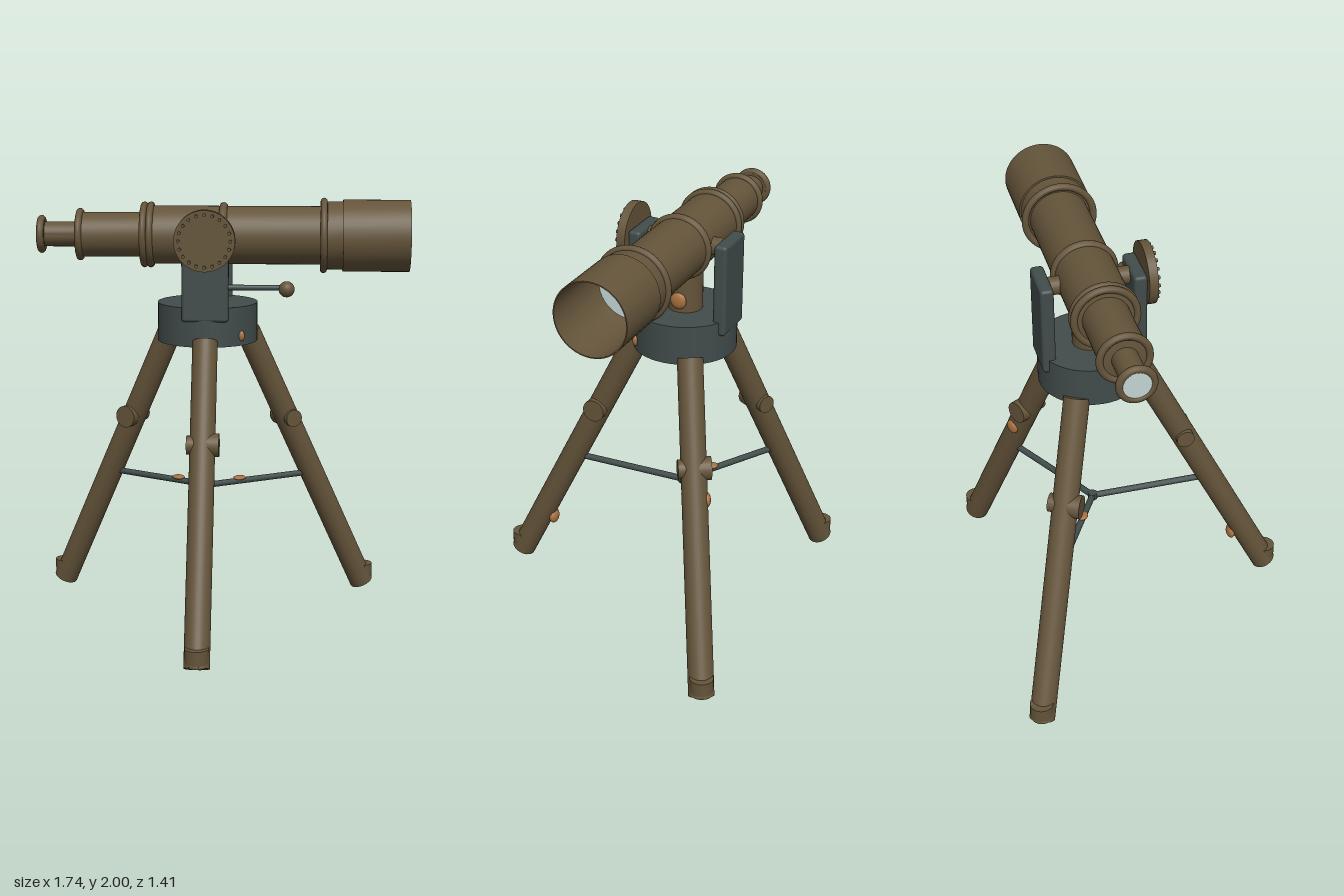
import * as THREE from 'three';
import { toCreasedNormals } from 'three/addons/utils/BufferGeometryUtils.js';
import { RoundedBoxGeometry } from 'three/addons/geometries/RoundedBoxGeometry.js';

const CX = -0.065, CZ = -0.213, BARREL_Y = 1.825;

function material(name, color) {
  const m = new THREE.MeshStandardMaterial({ color });
  m.name = name;
  return m;
}

export function createModel() {
  const bronze = material('aged bronze', 0x64543a);
  const iron = material('dark iron', 0x414c4b);
  const copper = material('copper', 0xa87040);
  const glass = material('pale glass', 0xc4d4d4);

  const model = new THREE.Group();
  model.name = 'telescopeOnTripod';
  // Everything is built around the tripod's vertical axis
  const body = new THREE.Group();
  body.name = 'telescope';
  body.position.set(CX, 0, CZ);
  model.add(body);

  function add(name, geometry, mat, x = 0, y = 0, z = 0, parent = body) {
    const mesh = new THREE.Mesh(geometry, mat);
    mesh.name = name;
    mesh.position.set(x, y, z);
    parent.add(mesh);
    return mesh;
  }
  // Cylinder running between two points
  function rod(name, a, b, r, mat, parent = body, sides = 24) {
    const from = new THREE.Vector3(...a), to = new THREE.Vector3(...b);
    const dir = to.clone().sub(from);
    const mesh = add(name, new THREE.CylinderGeometry(r, r, dir.length(), sides), mat, 0, 0, 0, parent);
    mesh.position.copy(from).add(to).multiplyScalar(0.5);
    mesh.quaternion.setFromUnitVectors(new THREE.Vector3(0, 1, 0), dir.normalize());
    return mesh;
  }
  function rivet(name, x, y, z, r, squash, parent = body) {
    const mesh = add(name, new THREE.SphereGeometry(r, 16, 12), copper, x, y, z, parent);
    mesh.scale.set(...squash);
    return mesh;
  }

  // Barrel, lying along x, with a hollow hood at the wide end
  const barrel = new THREE.Group();
  barrel.name = 'barrel';
  barrel.position.set(-CX, BARREL_Y, 0);
  barrel.rotation.z = -Math.PI / 2;
  body.add(barrel);
  const profile = [
    [0.05, -0.83], [0.07, -0.845], [0.07, -0.82], [0.057, -0.82], [0.057, -0.665], [0.103, -0.66],
    [0.103, -0.365], [0.134, -0.36], [0.134, 0.47], [0.155, 0.475], [0.157, 0.56],
    [0.165, 0.56], [0.165, 0.868], [0.16, 0.868], [0.157, 0.56], [0.138, 0.5],
  ].map(p => new THREE.Vector2(...p));
  add('tube', toCreasedNormals(new THREE.LatheGeometry(profile, 48), 0.5), bronze, 0, 0, 0, barrel);
  // Rings: position along the barrel, outer radius, thickness radius
  for (const [at, outer, t] of [
    [-0.838, 0.088, 0.017], [-0.657, 0.121, 0.016], [-0.357, 0.152, 0.016],
    [-0.327, 0.152, 0.016], [0.01, 0.151, 0.019], [0.472, 0.173, 0.016],
  ]) {
    const ring = add('barrelRing', new THREE.TorusGeometry(outer - t, t, 12, 48), bronze, 0, at, 0, barrel);
    ring.rotation.x = Math.PI / 2;
  }
  add('objectiveLens', new THREE.CylinderGeometry(0.14, 0.14, 0.008, 40), glass, 0, 0.505, 0, barrel);
  add('eyepieceLens', new THREE.CylinderGeometry(0.064, 0.064, 0.008, 32), glass, 0, -0.846, 0, barrel);

  // Base drum, post and the two uprights
  add('baseDrum', new THREE.CylinderGeometry(0.233, 0.233, 0.18, 48), iron, 0, 1.425, 0);
  add('post', new THREE.CylinderGeometry(0.078, 0.078, 0.25, 32), bronze, 0, 1.615, 0);
  for (const s of [1, -1]) {
    add('upright', new RoundedBoxGeometry(0.214, 0.42, 0.06, 3, 0.016), iron, 0, 1.66, s * 0.204);
  }
  rod('trunnion', [0, BARREL_Y, -0.2], [0, BARREL_Y, 0.2], 0.04, bronze);
  rivet('postRivet', 0.078, 1.57, 0, 0.038, [0.45, 1, 1]);
  rivet('baseRivet', 0.165, 1.38, 0.167, 0.024, [0.6, 1, 0.6]);

  // Adjustment wheel with a ring of studs
  const wheel = new THREE.Group();
  wheel.name = 'adjustmentWheel';
  wheel.position.set(0, BARREL_Y, 0.233);
  body.add(wheel);
  rod('wheelDisc', [0, 0, 0], [0, 0, 0.04], 0.139, bronze, wheel, 48);
  for (let i = 0; i < 20; i++) {
    const a = i / 20 * Math.PI * 2, x = Math.cos(a) * 0.118, y = Math.sin(a) * 0.118;
    rod('wheelStud', [x, y, 0.035], [x, y, 0.052], 0.008, bronze, wheel, 10);
  }

  // Lever with ball handle
  rod('lever', [0.08, 1.61, 0.213], [0.37, 1.61, 0.213], 0.013, iron);
  add('leverBall', new THREE.SphereGeometry(0.036, 24, 16), bronze, 0.371, 1.61, 0.257);

  // Three legs; each is built pointing to +z and turned into place
  for (let i = 0; i < 3; i++) {
    const leg = new THREE.Group();
    leg.name = 'leg';
    leg.rotation.y = i * Math.PI * 2 / 3;
    body.add(leg);
    rod('legTube', [0, 1.36, 0.213], [0, 0.026, 0.87], 0.058, bronze, leg, 32);
    add('foot', new THREE.CylinderGeometry(0.053, 0.053, 0.08, 24), bronze, 0, 0.08, 0.868, leg);
    rod('clampKnob', [0, 0.925, 0.43], [0.076, 0.925, 0.43], 0.053, bronze, leg);
    rod('clampNut', [-0.072, 0.925, 0.43], [0, 0.925, 0.43], 0.042, bronze, leg);
    rod('brace', [0, 0.63, 0], [0, 0.63, 0.56], 0.015, iron, leg, 12);
    if (i > 0) rivet('braceRivet', 0, 0.645, 0.17, 0.032, [0.8, 0.35, 1], leg);
    if (i === 0) rivet('legRivet', 0, 0.25, 0.692, 0.036, [1, 1, 0.6], leg);
    if (i === 1) rivet('legRivet', 0.054, 0.8, 0.489, 0.034, [0.5, 1, 1], leg);
  }
  add('braceHub', new THREE.CylinderGeometry(0.022, 0.022, 0.03, 16), iron, 0, 0.63, 0);

  return model;
}
